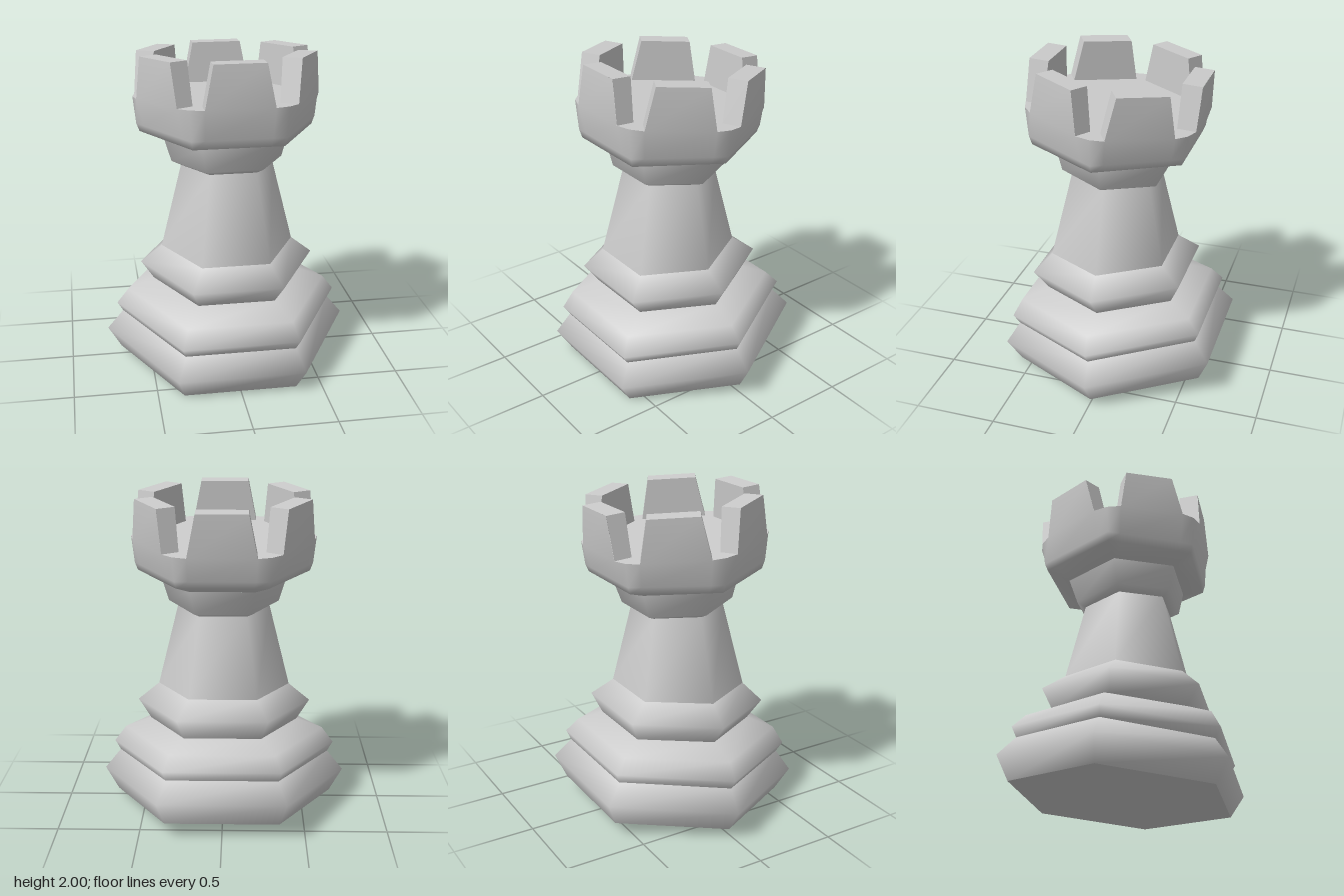
import * as THREE from 'three';

const HEAD_Y = 1.715, HEAD_Z = 0.016, HEAD_SLOPE = 0.065, MERLON_H = 0.252;

// Plain hexagon ring: corner radius, height, z offset, slope (rise towards the front)
function hexRing(r, y, cz, slope) {
  const ring = [];
  for (let k = 0; k < 6; k++) {
    const a = (k * Math.PI) / 3, z = -r * Math.sin(a);
    ring.push([r * Math.cos(a), y + z * slope, cz + z]);
  }
  return ring;
}

// Hexagon ring with eased corners: three points for each corner
function easedRing(apothem, halfFlat, cornerR, y, cz, slope) {
  const ring = [];
  const d = Math.hypot(apothem, halfFlat);
  const off = Math.PI / 6 - Math.atan2(halfFlat, apothem);
  for (let k = 0; k < 6; k++) {
    for (const [r, da] of [[d, -off], [cornerR, 0], [d, off]]) {
      const a = (k * Math.PI) / 3 + da, z = -r * Math.sin(a);
      ring.push([r * Math.cos(a), y + z * slope, cz + z]);
    }
  }
  return ring;
}

// Eased ring whose corners are still sharp
function sharpRing(r, y, cz, slope) {
  const a = r * Math.cos(Math.PI / 6);
  return easedRing(a, a * 0.4, r, y, cz, slope);
}

// Smooth skin through rings listed from bottom to top; keep(row, column) may leave gaps
function loft(rings, keep = () => true) {
  const n = rings[0].length, index = [];
  for (let j = 0; j < rings.length - 1; j++) {
    for (let i = 0; i < n; i++) {
      if (!keep(j, i)) continue;
      const a = j * n + i, b = j * n + ((i + 1) % n);
      index.push(a, b, b + n, a, b + n, a + n);
    }
  }
  const g = new THREE.BufferGeometry();
  g.setAttribute('position', new THREE.Float32BufferAttribute(rings.flat(2), 3));
  g.setIndex(index);
  g.computeVertexNormals();
  return g;
}

// Flat lid over one ring
function cap(ring, up) {
  const n = ring.length, index = [];
  for (let i = 1; i < n - 1; i++) index.push(...(up ? [0, i, i + 1] : [0, i + 1, i]));
  const g = new THREE.BufferGeometry();
  g.setAttribute('position', new THREE.Float32BufferAttribute(ring.flat(), 3));
  g.setIndex(index);
  g.computeVertexNormals();
  return g;
}

// Battlement sides, top and inner face; the outer face belongs to the head's skin
function merlonGeometry() {
  const g = new THREE.BoxGeometry(1, 1, 1);
  const p = g.attributes.position;
  for (let i = 0; i < p.count; i++) {
    const top = p.getY(i) > 0, outer = p.getZ(i) > 0;
    const half = top ? 0.15 : 0.2;
    const z = outer ? (top ? 0.518 : 0.515) : (top ? 0.4 : 0.405);
    p.setXYZ(i, Math.sign(p.getX(i)) * half, top ? MERLON_H : 0, z);
  }
  const index = Array.from(g.index.array);
  g.setIndex([...index.slice(0, 18), ...index.slice(30)]);
  g.clearGroups();
  g.computeVertexNormals();
  return g;
}

export function createModel() {
  const model = new THREE.Group();
  model.name = 'chessRook';
  const stone = new THREE.MeshStandardMaterial({ color: 0xcccccc });
  stone.name = 'lightGrey';
  const add = (parent, name, geometry) => {
    const m = new THREE.Mesh(geometry, stone);
    m.name = name;
    parent.add(m);
    return m;
  };

  // Body rings from the ground up, each tilted a little along a bent axis
  const rings = [
    [0.685, 0.05, -0.01, -0.081],
    [0.767, 0.192, 0, -0.083],
    [0.667, 0.315, 0.01, -0.081],
    [0.702, 0.375, 0.016, -0.08],
    [0.63, 0.47, 0.025, -0.06],
    [0.465, 0.534, 0.0175, -0.054],
    [0.544, 0.656, 0.03, -0.06],
    [0.412, 0.763, 0.04, -0.045],
    [0.283, 1.28, 0.03, 0.038],
    [0.34, 1.308, 0.032, 0.045],
    [0.385, 1.458, 0.022, 0.04],
  ].map((r) => hexRing(...r));

  // Each section is smooth; the seams between sections stay sharp
  const sections = { foot: [0, 2], lowerBand: [2, 5], upperBand: [5, 7], shaft: [7, 8], neck: [8, 10] };
  for (const [name, [from, to]] of Object.entries(sections)) {
    add(model, name, loft(rings.slice(from, to + 1)));
  }
  add(model, 'underside', cap(rings[0], false));

  // Head: sharp hexagon below, eased corners at the rim, flats running up into the battlements
  const rim = easedRing(0.515, 0.2, 0.563, HEAD_Y, HEAD_Z, HEAD_SLOPE);
  const crest = easedRing(0.518, 0.15, 0.563, HEAD_Y + MERLON_H, HEAD_Z - MERLON_H * HEAD_SLOPE, HEAD_SLOPE);
  const headRings = [
    sharpRing(0.385, 1.458, 0.022, 0.04),
    sharpRing(0.527, 1.502, 0.02, 0.015),
    easedRing(0.473, 0.195, 0.545, 1.55, 0.019, 0.025),
    rim,
    crest,
  ];
  add(model, 'head', loft(headRings, (row, column) => row < 3 || column % 3 === 2));
  add(model, 'headFloor', cap(rim, true));

  // Six battlements on the tilted floor
  const battlements = new THREE.Group();
  battlements.name = 'battlements';
  battlements.position.set(0, HEAD_Y, HEAD_Z);
  battlements.rotation.x = -Math.atan(HEAD_SLOPE);
  const block = merlonGeometry();
  for (let k = 0; k < 6; k++) {
    add(battlements, 'battlement', block).rotation.y = (k * Math.PI) / 3;
  }
  model.add(battlements);
  return model;
}
